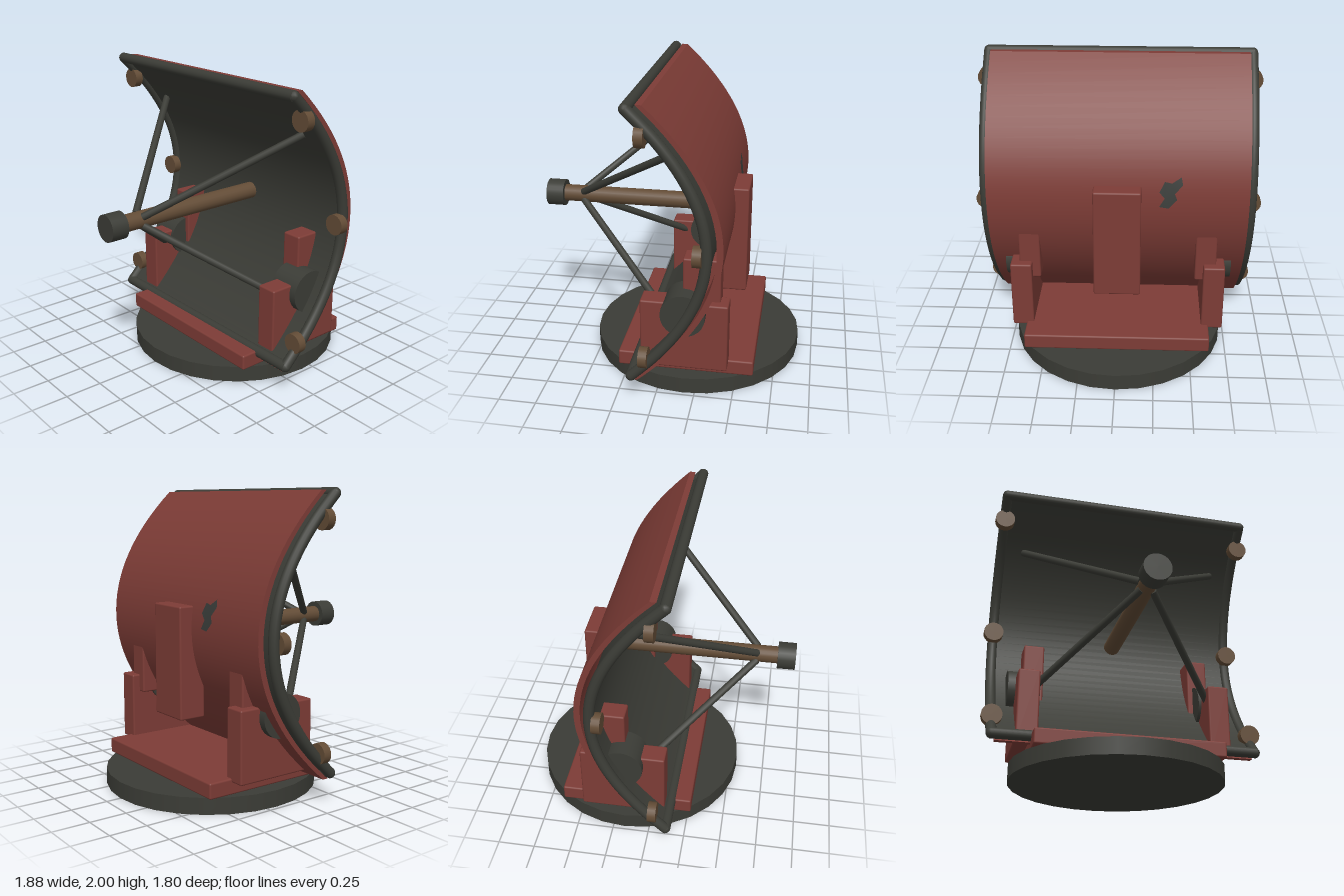
import * as THREE from 'three';
import { toCreasedNormals } from 'three/addons/utils/BufferGeometryUtils.js';
import { RoundedBoxGeometry } from 'three/addons/geometries/RoundedBoxGeometry.js';

const material = (name, color) => {
  const m = new THREE.MeshStandardMaterial({ color });
  m.name = name;
  return m;
};

export function createModel() {
  const model = new THREE.Group();
  model.name = 'searchDish';
  const red = material('oxideRed', 0x7d3c36);
  const dark = material('darkMetal', 0x3b3c36);
  const brown = material('brownMetal', 0x634c36);
  const chipped = material('chippedPaint', 0x3a3d3a);
  chipped.side = THREE.DoubleSide;

  const add = (name, geometry, mat) => {
    const mesh = new THREE.Mesh(geometry, mat);
    mesh.name = name;
    model.add(mesh);
    return mesh;
  };
  // Box given by its limits on each axis
  const box = (name, [x0, x1], [y0, y1], [z0, z1], mat) =>
    add(name, new RoundedBoxGeometry(x1 - x0, y1 - y0, z1 - z0, 2, 0.012), mat)
      .position.set((x0 + x1) / 2, (y0 + y1) / 2, (z0 + z1) / 2);
  // Cylinder between two points
  const rod = (name, a, b, radius, sides, mat) => {
    const from = new THREE.Vector3(...a), to = new THREE.Vector3(...b);
    const dir = to.clone().sub(from);
    const geometry = new THREE.CylinderGeometry(radius, radius, dir.length(), sides);
    const mesh = add(name, geometry, mat);
    mesh.position.copy(from).add(to).multiplyScalar(0.5);
    mesh.quaternion.setFromUnitVectors(new THREE.Vector3(0, 1, 0), dir.normalize());
  };

  // Parabolic profiles: depth z as a function of height y
  const rimZ = (y) => -0.335 + 0.475 * ((y - 1.082) / 0.883) ** 2;
  const backZ = (y) => {
    const t = (y - 1.07) / 0.915;
    return -0.435 + 0.51 * t * t - 0.027 * t;
  };

  // Curved sheet extruded across the width
  const sheet = (name, curve, y0, y1, thickness, width, mat) => {
    const points = [], n = 32;
    for (let i = 0; i <= n; i++) {
      const y = y0 + (y1 - y0) * i / n;
      points.push(new THREE.Vector2(curve(y), y));
    }
    for (let i = n; i >= 0; i--) points.push(new THREE.Vector2(points[i].x + thickness, points[i].y));
    const geometry = new THREE.ExtrudeGeometry(new THREE.Shape(points), { depth: width, bevelEnabled: false });
    geometry.translate(0, 0, -width / 2).rotateY(-Math.PI / 2);
    add(name, toCreasedNormals(geometry, 0.5), mat);
  };

  // Base
  rod('baseDisc', [0, 0, -0.175], [0, 0.11, -0.175], 0.725, 28, dark);
  box('basePlate', [-0.625, 0.625], [0.11, 0.215], [-0.625, 0.28], red);

  // Dish: dark reflector in front, red panel behind
  sheet('reflector', (y) => rimZ(y) - 0.025, 0.2, 1.965, 0.03, 1.7, dark);
  sheet('backPanel', backZ, 0.155, 1.985, 0.04, 1.7, red);
  box('rearHousing', [-0.155, 0.155], [0.49, 1.245], [-0.525, -0.335], red);

  // Worn patch on the back panel
  const outline = [[-0.27, 1.21], [-0.305, 1.28], [-0.35, 1.27], [-0.41, 1.31], [-0.42, 1.26],
    [-0.37, 1.2], [-0.385, 1.16], [-0.33, 1.1], [-0.27, 1.11], [-0.305, 1.17]];
  const patch = new THREE.ShapeGeometry(new THREE.Shape(outline.map(([x, y]) => new THREE.Vector2(x, y))));
  const pos = patch.attributes.position;
  for (let i = 0; i < pos.count; i++) pos.setZ(i, backZ(pos.getY(i)) - 0.005);
  patch.computeVertexNormals();
  add('wornPatch', patch, chipped);

  // Rim rails across the top and bottom
  for (const y of [0.2, 1.965]) rod('crossRail', [-0.88, y, 0.14], [0.88, y, 0.14], 0.035, 16, dark);

  for (const s of [-1, 1]) {
    // Curved side rails with round ends
    const path = [];
    for (let i = 0; i <= 12; i++) {
      const y = 0.2 + 1.765 * i / 12;
      path.push(new THREE.Vector3(s * 0.872, y, rimZ(y)));
    }
    add('sideRail', new THREE.TubeGeometry(new THREE.CatmullRomCurve3(path), 40, 0.035, 12), dark);
    for (const p of [path[0], path[12]])
      add('railEnd', new THREE.SphereGeometry(0.035, 12, 8), dark).position.copy(p);

    // Rim bolts
    for (const [y, z] of [[0.345, 0.055], [1.08, -0.283], [1.81, 0.055]])
      rod('rimBolt', [s * 0.872, y, z - 0.028], [s * 0.872, y, z + 0.028], 0.068, 20, brown);

    // Yoke arms, uprights and trunnions
    const span = (a, b) => (s > 0 ? [a, b] : [-b, -a]);
    box('yokeArm', span(0.575, 0.72), [0.19, 0.665], [-0.46, 0.11], red);
    box('yokeUpright', span(0.52, 0.662), [0.54, 0.955], [-0.405, -0.16], red);
    rod('trunnion', [s * 0.555, 0.6, -0.175], [s * 0.77, 0.6, -0.175], 0.145, 24, dark);

    // Feed struts
    for (const v of [-1, 1])
      rod('feedStrut', [s * 0.71, 1.08 + v * 0.585, -0.12], [s * 0.04, 1.08 + v * 0.03, 0.64], 0.025, 12, dark);
  }

  // Feed boom and its head
  rod('feedBoom', [0, 1.08, -0.335], [0, 1.08, 0.79], 0.058, 20, brown);
  rod('feedHead', [0, 1.08, 0.78], [0, 1.08, 0.9], 0.092, 24, dark);

  return model;
}
